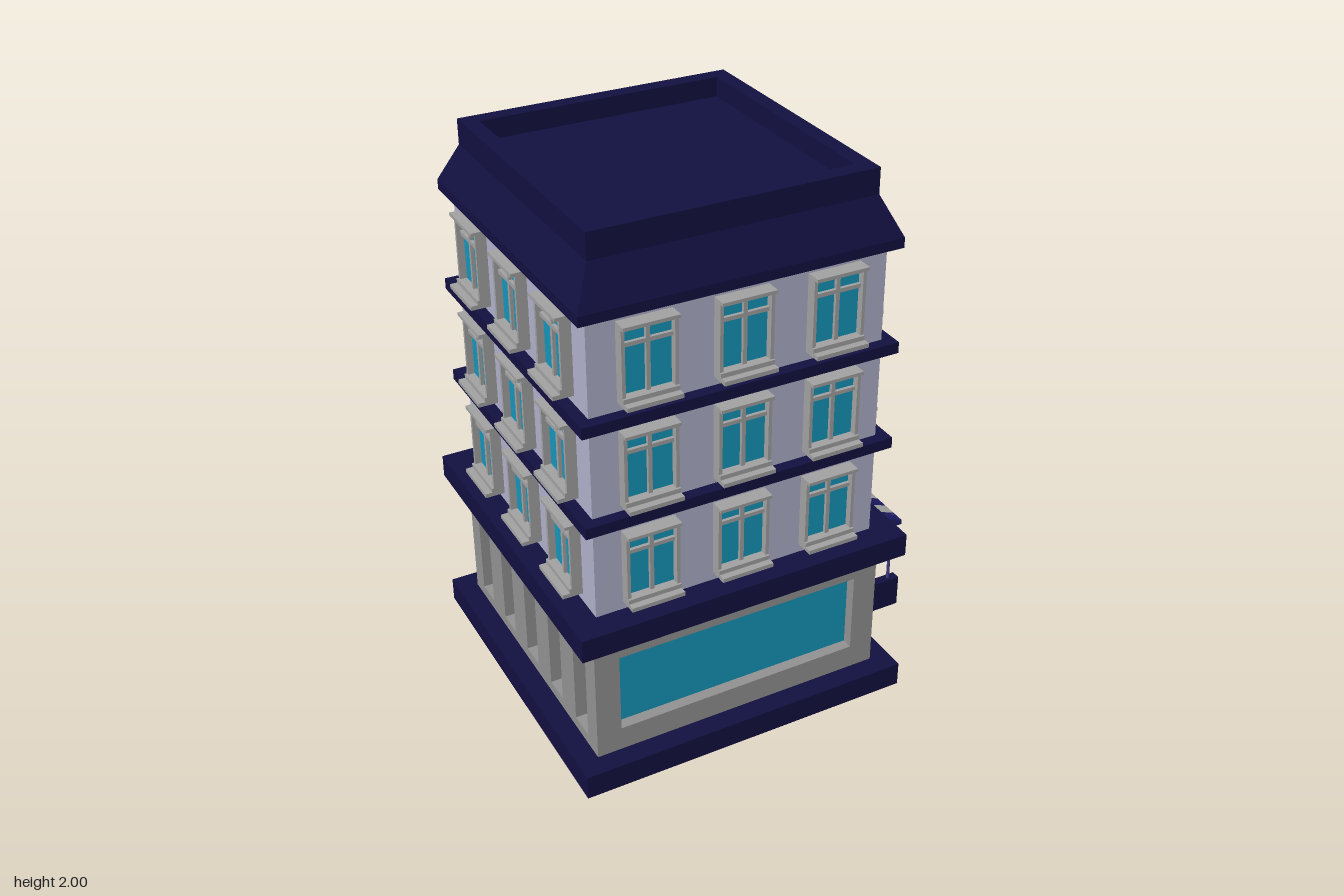
import * as THREE from 'three';

const mat = (color, side = THREE.FrontSide) =>
  new THREE.MeshStandardMaterial({ color, side, flatShading: true });
const M = {
  navy: mat(0x121040), wall: mat(0xb0b0cc), stone: mat(0x929292), trim: mat(0xa2a2a2),
  glass: mat(0x1595ba), darkTrim: mat(0x585858), door: mat(0x2b4a88), frame: mat(0x1c1a58),
  pale: mat(0x86c4cc), blue: mat(0x1e1c66), white: mat(0xaaaaaa), pole: mat(0x3f3a82),
};

function add(parent, name, geometry, material, x = 0, y = 0, z = 0) {
  const m = new THREE.Mesh(geometry, material);
  m.name = name;
  m.position.set(x, y, z);
  parent.add(m);
  return m;
}
// Box given by its min and max corner
function box(parent, name, material, [x0, y0, z0], [x1, y1, z1]) {
  return add(parent, name, new THREE.BoxGeometry(x1 - x0, y1 - y0, z1 - z0), material,
    (x0 + x1) / 2, (y0 + y1) / 2, (z0 + z1) / 2);
}
const slab = (parent, name, material, r, y0, y1) => box(parent, name, material, [-r, y0, -r], [r, y1, r]);
function named(parent, name) {
  const g = new THREE.Group();
  g.name = name;
  parent.add(g);
  return g;
}
function polygon(points) {
  return new THREE.Shape(points.map(([x, y]) => new THREE.Vector2(x, y)));
}
const rect = (x0, y0, x1, y1) => polygon([[x0, y0], [x1, y0], [x1, y1], [x0, y1]]);
const extrude = (shape, depth) => new THREE.ExtrudeGeometry(shape, { depth, bevelEnabled: false });

// Upper-storey window: local +z points out of the wall, y = 0 is the bottom
function upperWindow(parent, x, y) {
  const g = named(parent, 'window');
  g.position.set(x, y, 0);
  const w = 0.095, f = 0.083, z0 = 0.515;
  box(g, 'windowGlass', M.glass, [-f, 0.02, z0], [f, 0.255, 0.535]);
  for (const s of [-1, 1]) {
    const a = s * w, b = s * f;
    box(g, 'windowJamb', M.trim, [Math.min(a, b), 0.01, z0], [Math.max(a, b), 0.262, 0.56]);
  }
  box(g, 'windowLintel', M.trim, [-w, 0.258, z0], [w, 0.27, 0.575]);
  box(g, 'windowMullion', M.trim, [-0.007, 0.02, z0], [0.007, 0.258, 0.547]);
  box(g, 'windowTransom', M.trim, [-f, 0.19, z0], [f, 0.204, 0.547]);
  box(g, 'windowLedge', M.trim, [-w, 0.01, z0], [w, 0.026, 0.568]);
  box(g, 'windowSill', M.trim, [-w, -0.005, z0], [w, 0.01, 0.593]);
}

// Ground-floor wall panel with rectangular openings
function groundWall(parent, half, holes) {
  const s = rect(-half, 0.09, half, 0.58);
  for (const h of holes) s.holes.push(rect(...h));
  add(parent, 'groundWall', extrude(s, 0.06), M.stone, 0, 0, 0.485);
}

function narrowWindow(parent, x) {
  const g = named(parent, 'narrowWindow');
  g.position.x = x;
  const s = rect(-0.048, 0.187, 0.048, 0.495);
  s.holes.push(rect(-0.031, 0.204, 0.031, 0.33), rect(-0.031, 0.345, 0.031, 0.478));
  add(g, 'narrowFrame', extrude(s, 0.035), M.darkTrim, 0, 0, 0.53);
  box(g, 'narrowGlass', M.glass, [-0.035, 0.2, 0.53], [0.035, 0.482, 0.552]);
}

function entrance(parent) {
  const g = named(parent, 'entrance');
  const s = polygon([[-0.16, 0.09], [-0.13, 0.09], [-0.13, 0.445], [0.13, 0.445], [0.13, 0.09],
    [0.16, 0.09], [0.16, 0.475], [-0.16, 0.475]]);
  add(g, 'doorFrame', extrude(s, 0.06), M.frame, 0, 0, 0.53);
  for (const side of [-1, 1]) {
    const x = side * 0.066;
    const leaf = rect(-0.064, 0.09, 0.064, 0.445);
    leaf.holes.push(rect(-0.046, 0.12, 0.046, 0.18), rect(-0.046, 0.215, 0.046, 0.42));
    add(g, 'doorLeaf', extrude(leaf, 0.03), M.door, x, 0, 0.535);
    box(g, 'doorGlass', M.pale, [x - 0.055, 0.11, 0.535], [x + 0.055, 0.43, 0.555]);
    box(g, 'doorHandle', M.frame, [side * 0.008 - 0.004, 0.21, 0.56], [side * 0.008 + 0.004, 0.28, 0.578]);
  }
  // Steps between two sloping side walls
  for (let i = 0; i < 3; i++) {
    box(g, 'step', M.navy, [-0.19, 0, 0.545], [0.19, 0.09 - i * 0.03, 0.68 + i * 0.07]);
  }
  const cheek = extrude(polygon([[0.545, 0], [0.885, 0], [0.885, 0.125], [0.79, 0.125],
    [0.615, 0.187], [0.545, 0.187]]), 0.036);
  cheek.rotateY(-Math.PI / 2); // profile x becomes outward z
  for (const x of [-0.188, 0.224]) add(g, 'stepSideWall', cheek, M.navy, x);

  // Striped awning with closed triangular ends
  const n = 9, w = 0.49 / n;
  const strip = extrude(polygon([[0.545, 0.523], [0.585, 0.52], [0.865, 0.412], [0.865, 0.395],
    [0.855, 0.395], [0.58, 0.503], [0.545, 0.507]]), w);
  strip.rotateY(-Math.PI / 2);
  for (let i = 0; i < n; i++) {
    add(g, 'awningStripe', strip, i % 2 ? M.white : M.blue, -0.245 + (i + 1) * w);
  }
  const end = extrude(polygon([[0.565, 0.395], [0.86, 0.395], [0.86, 0.41], [0.585, 0.518], [0.545, 0.52]]), 0.008);
  end.rotateY(-Math.PI / 2);
  for (const x of [-0.238, 0.246]) add(g, 'awningEnd', end, M.blue, x);
  for (const x of [-0.206, 0.206]) {
    add(g, 'awningPole', new THREE.CylinderGeometry(0.006, 0.006, 0.3, 8), M.pole, x, 0.27, 0.847);
  }
}

export function createModel() {
  const root = new THREE.Group();
  root.name = 'townBuilding';
  const b = named(root, 'building');
  b.position.x = -0.135;

  // Plinth, floors and bands
  slab(b, 'plinth', M.navy, 0.62, 0, 0.09);
  slab(b, 'groundCore', M.stone, 0.486, 0.09, 0.58);
  slab(b, 'cornice', M.navy, 0.615, 0.575, 0.66);
  slab(b, 'upperWalls', M.wall, 0.522, 0.66, 1.75);
  slab(b, 'lowerBand', M.navy, 0.563, 1.003, 1.042);
  slab(b, 'upperBand', M.navy, 0.563, 1.365, 1.405);

  // Four-sided sloping roof with a sunken flat top
  const profile = [[0, 1.74], [0.56, 1.74], [0.56, 1.775], [0.497, 1.91], [0.497, 2],
    [0.44, 2], [0.44, 1.93], [0, 1.93]].map(([r, y]) => new THREE.Vector2(r * Math.SQRT2, y));
  add(b, 'roof', new THREE.LatheGeometry(profile, 4, Math.PI / 4), M.navy);

  // Sides in order: front, right (+x), back, left (-x)
  const shopHole = [-0.455, 0.18, 0.455, 0.482];
  for (let i = 0; i < 4; i++) {
    const side = named(b, ['frontSide', 'entranceSide', 'backSide', 'nicheSide'][i]);
    side.rotation.y = i * Math.PI / 2;
    for (let floor = 0; floor < 3; floor++) {
      for (const x of [-0.33, 0, 0.33]) upperWindow(side, x, 0.697 + floor * 0.372);
    }
    if (i % 2 === 0) {
      groundWall(side, 0.545, [shopHole]);
      box(side, 'shopWindow', M.glass, [-0.46, 0.175, 0.48], [0.46, 0.487, 0.505]);
    } else if (i === 1) {
      groundWall(side, 0.486, []);
      for (const x of [-0.385, 0.385]) narrowWindow(side, x);
      entrance(side);
    } else {
      groundWall(side, 0.486, [-2, -1, 0, 1, 2].map(k => [k * 0.21 - 0.05, 0.13, k * 0.21 + 0.05, 0.53]));
    }
  }
  return root;
}
